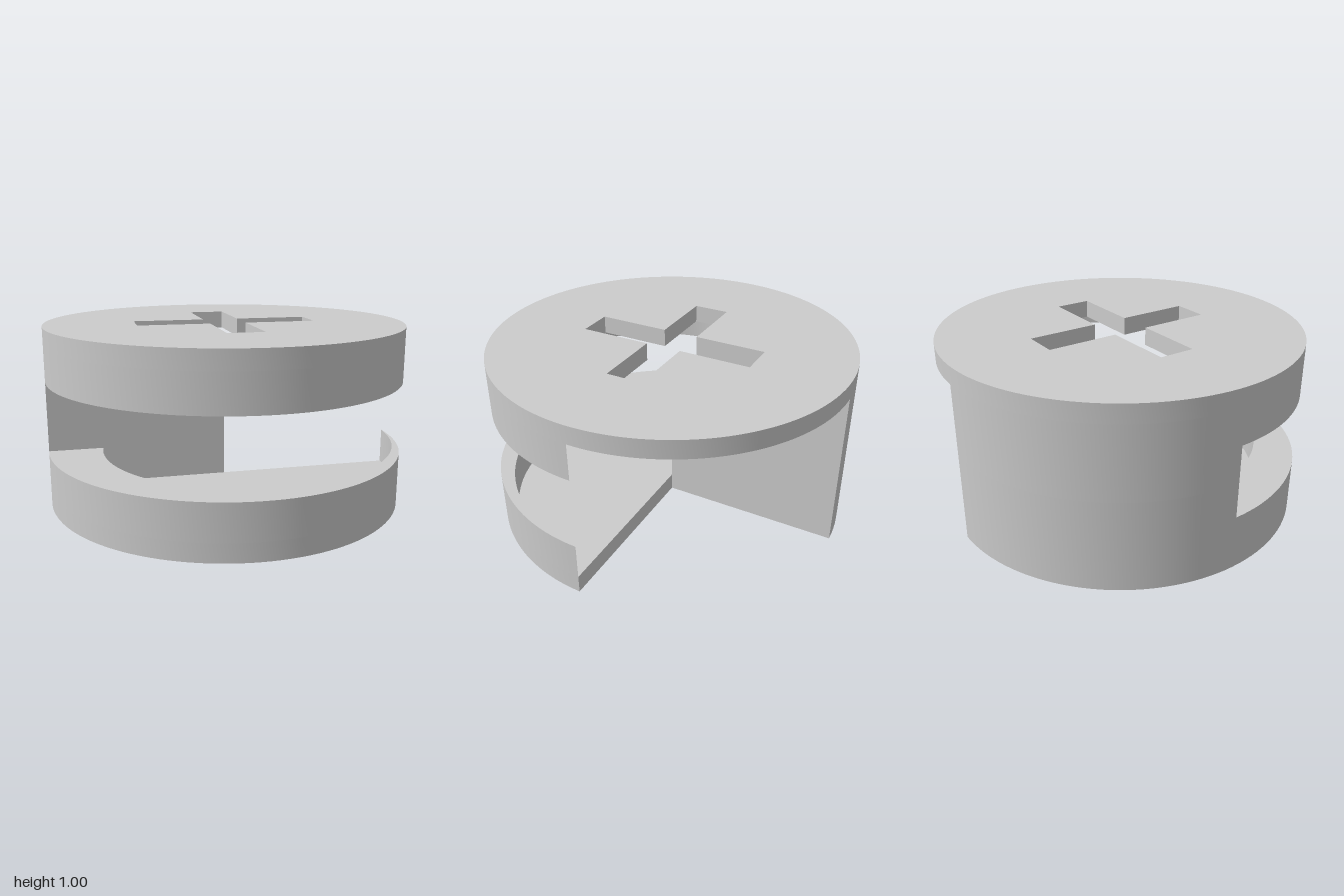
import * as THREE from 'three';
import { toCreasedNormals } from 'three/addons/utils/BufferGeometryUtils.js';

const SEGMENTS = 64; // per half turn

// Points along an arc; angles run from +x (0) through +z (PI / 2), radius may vary with angle.
function arc(from, to, radius = () => 1) {
  const n = Math.round((Math.abs(to - from) / Math.PI) * SEGMENTS);
  const points = [];
  for (let i = 0; i <= n; i++) {
    const a = from + ((to - from) * i) / n;
    points.push([Math.cos(a) * radius(a), Math.sin(a) * radius(a)]);
  }
  return points;
}

// Plan outlines are given as [x, z]
const toVectors = (points) => points.map(([x, z]) => new THREE.Vector2(x, -z));

// Raises a plan outline from y0 to y1
function slab(name, outline, y0, y1, hole) {
  const shape = new THREE.Shape(toVectors(outline));
  if (hole) shape.holes.push(new THREE.Path(toVectors(hole)));
  const geometry = new THREE.ExtrudeGeometry(shape, { depth: y1 - y0, bevelEnabled: false });
  geometry.rotateX(-Math.PI / 2).translate(0, y0, 0);
  const mesh = new THREE.Mesh(
    toCreasedNormals(geometry, 0.5),
    new THREE.MeshStandardMaterial({ color: 0xcccccc })
  );
  mesh.name = name;
  return mesh;
}

export function createModel() {
  const group = new THREE.Group();
  group.name = 'camLockNut';
  const w = 0.1; // half width of the driver slot
  const l = 0.5; // half length of the driver slot

  // Cap with the cross-shaped driver slot
  const cross = [
    [w, l], [w, w], [l, w], [l, -w], [w, -w], [w, -l],
    [-w, -l], [-w, -w], [-l, -w], [-l, w], [-w, w], [-w, l],
  ];
  const disc = arc(0, 2 * Math.PI).slice(0, -1);
  group.add(slab('cap', disc, 0.9, 1, cross));

  // Solid back quarter; its upper part is cut by the driver slot
  const quarterArc = arc(Math.PI, 1.5 * Math.PI);
  group.add(slab('quarterBlockLower', [[0, 0], ...quarterArc], 0, 0.5));
  const slotCorner = [[0, -l], [-w, -l], [-w, -w], [-l, -w], [-l, 0]];
  group.add(slab('quarterBlockUpper', [...quarterArc, ...slotCorner], 0.5, 0.9));

  // Thin floor under the front half
  const halfArc = arc(0, Math.PI);
  group.add(slab('floor', halfArc, 0, 0.1));

  // Two spiral cam rims, thickening from nothing to 0.3, with an open slot between them
  const spiral = arc(Math.PI, 0, (a) => 1 - (0.3 * a) / Math.PI).slice(0, -1);
  const rim = [...halfArc, ...spiral];
  group.add(slab('lowerCamRim', rim, 0.1, 0.3));
  group.add(slab('upperCamRim', rim, 0.7, 0.9));

  return group;
}
